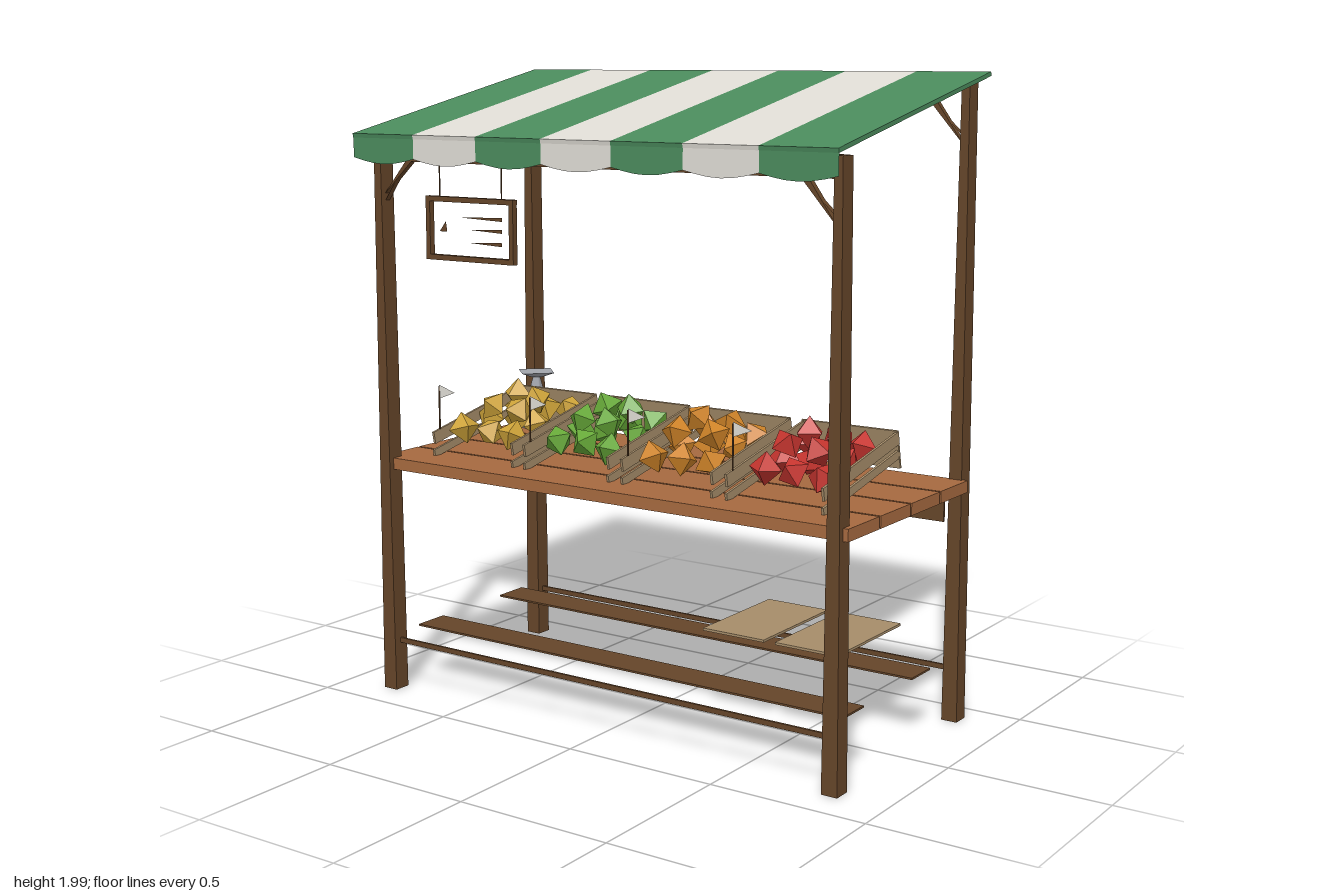
import * as THREE from 'three';

const mat = (name, color, double = false) => {
  const m = new THREE.MeshStandardMaterial({ color, side: double ? THREE.DoubleSide : THREE.FrontSide });
  m.name = name;
  return m;
};

export function createModel() {
  const root = new THREE.Group();
  root.name = 'marketStall';
  const wood = mat('dark wood', 0x654529, true);
  const counterWood = mat('counter wood', 0xa5693f);
  const crateWood = mat('crate wood', 0xa58c69);
  const green = mat('green cloth', 0x4a8a5c, true);
  const white = mat('white cloth', 0xdedbd4, true);
  const metal = mat('scale metal', 0xa2a5ac, true);
  const fruitMats = [
    mat('yellow fruit', 0xd0a53a), mat('green fruit', 0x66a838),
    mat('orange fruit', 0xd08428), mat('red fruit', 0xc8352f),
  ];
  fruitMats.forEach((m) => { m.flatShading = true; });

  const add = (name, geo, material, x = 0, y = 0, z = 0, parent = root) => {
    const m = new THREE.Mesh(geo, material);
    m.name = name;
    m.position.set(x, y, z);
    parent.add(m);
    return m;
  };
  const box = (name, w, h, d, material, x, y, z, parent) =>
    add(name, new THREE.BoxGeometry(w, h, d), material, x, y, z, parent);
  const flat = (name, pts, material, x, y, z, parent) =>
    add(name, new THREE.ShapeGeometry(new THREE.Shape(pts.map((p) => new THREE.Vector2(...p)))), material, x, y, z, parent);

  let seed = 11;
  const rnd = () => {
    seed = (seed * 16807) % 2147483647;
    return seed / 2147483647;
  };

  // Posts, narrower in x towards the top, each with a corner brace
  for (const sx of [-1, 1]) {
    for (const [z, h, braceY] of [[0.36, 1.78, 1.6], [-0.39, 1.97, 1.79]]) {
      const geo = new THREE.BoxGeometry(0.052, h, 0.056);
      const p = geo.attributes.position;
      for (let i = 0; i < p.count; i++) if (p.getY(i) > 0) p.setX(i, p.getX(i) * 0.5);
      geo.computeVertexNormals();
      add('post', geo, wood, sx * 0.823, h / 2, z);
      const shape = new THREE.Shape([[0.815, 0.01], [0.69, 0.125], [0.715, 0.125], [0.815, -0.015]]
        .map(([x, y]) => new THREE.Vector2(sx * x, y)));
      add('cornerBrace', new THREE.ExtrudeGeometry(shape, { depth: 0.02, bevelEnabled: false }), wood, 0, braceY, z - 0.01);
    }
  }
  box('frontBeam', 1.63, 0.065, 0.025, wood, 0, 1.75, 0.36);

  // Striped canopy with a scalloped valance
  const canopy = new THREE.Group();
  canopy.name = 'canopy';
  canopy.position.y = 1.892;
  canopy.rotation.x = Math.atan2(0.19, 0.908);
  root.add(canopy);
  const edges = [-0.86, -0.615, -0.37, -0.125, 0.125, 0.37, 0.615, 0.86];
  for (let i = 0; i < 7; i++) {
    const a = edges[i], b = edges[i + 1], w = b - a;
    const cloth = i % 2 ? white : green;
    box('canopyStripe', w, 0.013, 0.928, cloth, (a + b) / 2, 0, 0, canopy);
    const pts = [[0, 1.803], [0, 1.73]];
    for (let k = 1; k <= 6; k++) pts.push([w * k / 6, 1.73 - 0.018 * Math.sin(Math.PI * k / 6)]);
    pts.push([w, 1.803]);
    flat('valance', pts, cloth, a, 0, 0.452);
  }

  // Counter planks and back apron
  for (let i = 0; i < 4; i++) {
    box('counterPlank', 1.72, 0.037, 0.179, counterWood, 0, 0.751, 0.28 - i * 0.187);
  }
  box('backApron', 1.585, 0.1, 0.008, wood, 0, 0.685, -0.355);

  // Low shelf planks, thin rails and folded boards
  for (const z of [0.21, -0.21]) box('shelfPlank', 1.6, 0.006, 0.12, wood, 0, 0.19, z);
  for (const z of [0.36, -0.39]) box('lowRail', 1.6, 0.016, 0.008, wood, 0, 0.163, z);
  for (const x of [0.3, 0.56]) box('foldedBoard', 0.22, 0.008, 0.39, crateWood, x, 0.296, -0.125);

  // Tilted crates of fruit with small flags
  [-0.558, -0.187, 0.187, 0.56].forEach((cx, n) => {
    const crate = new THREE.Group();
    crate.name = 'fruitCrate';
    crate.position.x = cx;
    root.add(crate);
    box('crateBack', 0.33, 0.12, 0.008, crateWood, 0, 0.882, -0.18, crate).rotation.x = 0.2;
    for (const sx of [-1, 1]) {
      for (const [y, h] of [[0.873, 0.04], [0.822, 0.026]]) {
        box('crateSlat', 0.008, h, 0.455, crateWood, sx * 0.161, y, 0.045, crate).rotation.x = 0.2;
      }
    }
    const fruit = (x, y, z) => {
      const m = add('fruit', new THREE.OctahedronGeometry(0.052, 0), fruitMats[n],
        x + (rnd() - 0.5) * 0.03, y + (rnd() - 0.5) * 0.012, z + (rnd() - 0.5) * 0.02, crate);
      m.rotation.set(rnd() * 3, rnd() * 3, rnd() * 3);
    };
    [[0.175, 0.852], [0.04, 0.868], [-0.09, 0.893]].forEach(([z, y]) => {
      for (const x of [-0.1, 0, 0.1]) fruit(x, y, z);
    });
    for (const [z, y] of [[0.115, 0.918], [-0.015, 0.938]]) {
      for (const x of [-0.055, 0.055]) fruit(x, y, z);
    }
    box('flagStick', 0.004, 0.14, 0.004, wood, -0.15, 0.925, 0.25, crate);
    flat('priceFlag', [[0, 0], [0.065, 0.025], [0, 0.045]], white, -0.15, 0.955, 0.25, crate);
  });

  // Weighing scale
  const scale = new THREE.Group();
  scale.name = 'weighingScale';
  scale.position.set(-0.75, 0.77, -0.305);
  root.add(scale);
  add('scaleBody', new THREE.CylinderGeometry(0.01, 0.057, 0.17, 6), metal, 0, 0.1, 0, scale);
  add('scaleFoot', new THREE.CylinderGeometry(0.057, 0.057, 0.015, 6), metal, 0, 0.0075, 0, scale);
  add('scalePan', new THREE.CylinderGeometry(0.078, 0.025, 0.018, 4), metal, 0, 0.187, 0, scale);

  // Hanging open sign frame with plain marks
  const sign = new THREE.Group();
  sign.name = 'hangingSign';
  sign.position.set(-0.47, 1.517, 0.36);
  root.add(sign);
  for (const s of [-1, 1]) {
    box('signRail', 0.345, 0.016, 0.02, wood, 0, s * 0.09, 0, sign);
    box('signStile', 0.016, 0.165, 0.02, wood, s * 0.164, 0, 0, sign);
    box('signCord', 0.003, 0.12, 0.003, wood, s * 0.122, 0.155, 0, sign);
  }
  flat('signMark', [[-0.125, -0.01], [-0.095, -0.01], [-0.1, 0.022]], wood, 0, 0, 0, sign);
  for (const [x, y] of [[-0.045, 0.036], [-0.01, 0], [-0.01, -0.04]]) {
    flat('signLine', [[x, y], [0.122, y - 0.006], [0.122, y + 0.006]], wood, 0, 0, 0, sign);
  }
  return root;
}
